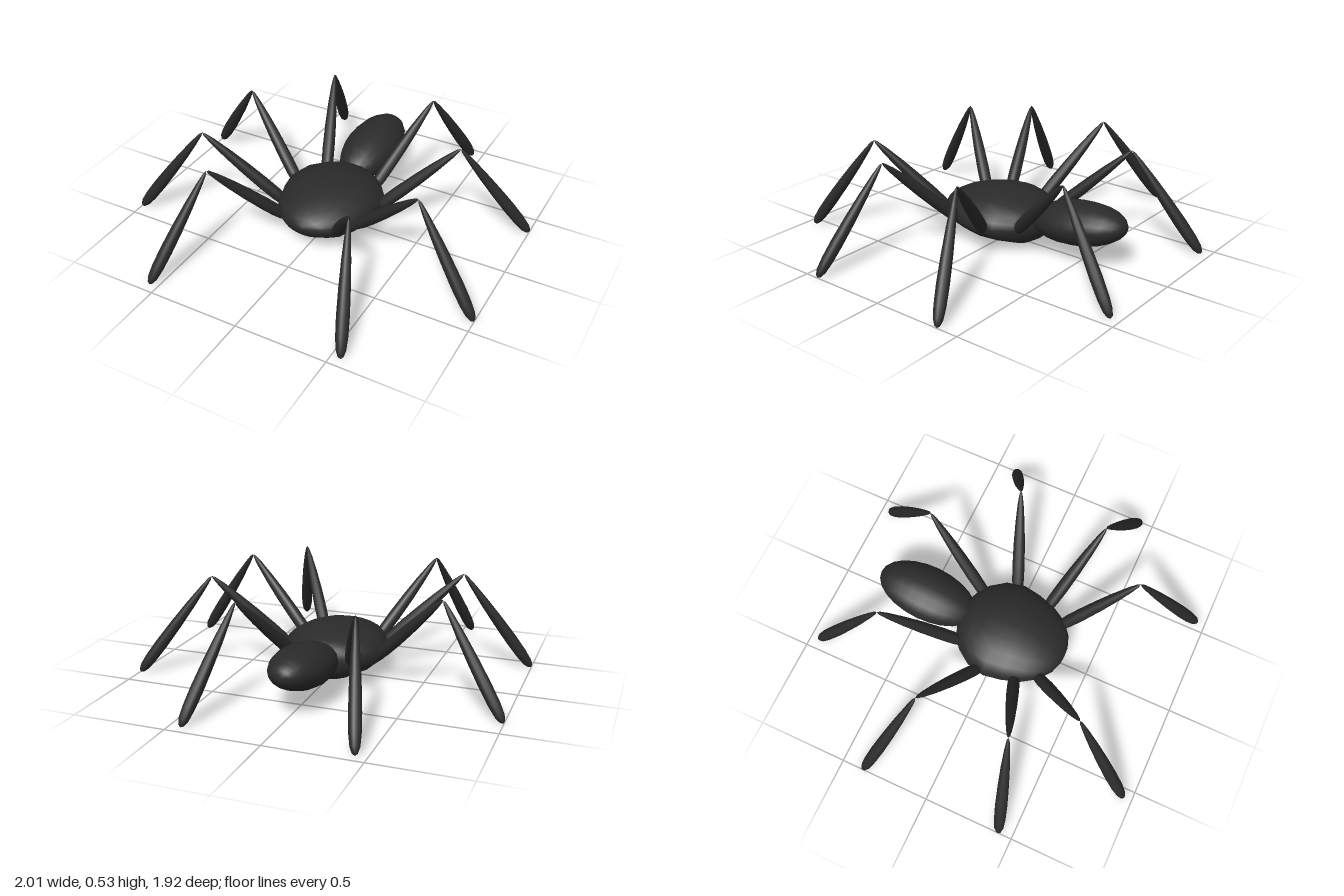
import * as THREE from 'three';

const material = new THREE.MeshStandardMaterial({ color: 0x2a2a2a });

// Skin over rings along z; each section is [z, halfWidth, top, bottom, widestY]
function loft(sections, sides) {
  const pos = [], index = [];
  for (const [z, w, top, bottom, mid] of sections) {
    for (let i = 0; i < sides; i++) {
      const a = (i / sides) * Math.PI * 2, s = Math.sin(a);
      pos.push(Math.cos(a) * w, mid + s * (s > 0 ? top - mid : mid - bottom), z);
    }
  }
  for (let r = 0; r < sections.length - 1; r++) {
    for (let i = 0; i < sides; i++) {
      const a = r * sides + i, b = r * sides + (i + 1) % sides;
      index.push(a, a + sides, b, b, a + sides, b + sides);
    }
  }
  const g = new THREE.BufferGeometry();
  g.setAttribute('position', new THREE.Float32BufferAttribute(pos, 3));
  g.setIndex(index);
  g.computeVertexNormals();
  return g;
}

// Tapered limb running from one point to another; profile is [radius, fraction]
function limb(name, from, to, profile) {
  const dir = new THREE.Vector3().subVectors(to, from);
  const length = dir.length();
  const points = profile.map(([r, t]) => new THREE.Vector2(r, t * length));
  const mesh = new THREE.Mesh(new THREE.LatheGeometry(points, 12), material);
  mesh.name = name;
  mesh.position.copy(from);
  mesh.quaternion.setFromUnitVectors(new THREE.Vector3(0, 1, 0), dir.normalize());
  return mesh;
}

export function createModel() {
  const model = new THREE.Group();
  model.name = 'spider';

  // Domed front body, listed from back to front so faces point outward
  const bodySections = [
    [-0.25, 0, 0.13, 0.13, 0.13],
    [-0.248, 0.09, 0.19, 0.085, 0.135],
    [-0.225, 0.15, 0.22, 0.045, 0.14],
    [-0.18, 0.205, 0.242, 0.02, 0.14],
    [-0.1, 0.262, 0.268, 0.022, 0.14],
    [0, 0.285, 0.284, 0.028, 0.14],
    [0.1, 0.268, 0.279, 0.035, 0.14],
    [0.2, 0.235, 0.258, 0.045, 0.14],
    [0.28, 0.185, 0.23, 0.065, 0.145],
    [0.335, 0.115, 0.2, 0.095, 0.15],
    [0.358, 0.05, 0.175, 0.125, 0.15],
    [0.362, 0, 0.15, 0.15, 0.15],
  ];
  const body = new THREE.Mesh(loft(bodySections.reverse(), 20), material);
  body.name = 'body';
  model.add(body);

  // Long abdomen, tilted up toward the rear
  const abdomenGeometry = new THREE.SphereGeometry(1, 16, 12);
  abdomenGeometry.rotateX(Math.PI / 2).scale(0.155, 0.115, 0.285);
  const abdomen = new THREE.Mesh(abdomenGeometry, material);
  abdomen.name = 'abdomen';
  abdomen.position.set(0, 0.2, -0.467);
  abdomen.rotation.x = 0.13;
  model.add(abdomen);

  // Legs: hip, knee and foot on the left side, mirrored to the right
  const legs = [
    ['frontLeg', [0.155, 0.12, 0.26], [0.4, 0.53, 0.595], [0.55, 0, 0.952]],
    ['midFrontLeg', [0.21, 0.12, 0.155], [0.625, 0.53, 0.31], [0.998, 0, 0.425]],
    ['midRearLeg', [0.24, 0.12, -0.03], [0.635, 0.53, -0.195], [0.998, 0, -0.38]],
    ['rearLeg', [0.145, 0.12, -0.17], [0.312, 0.53, -0.58], [0.44, 0, -0.952]],
  ];
  const upper = [[0, 0], [0.019, 0.012], [0.029, 0.05], [0.033, 0.13], [0.034, 0.28],
    [0.031, 0.5], [0.025, 0.7], [0.016, 0.88], [0.008, 0.97], [0, 1]];
  const lower = [[0, 0], [0.008, 0.03], [0.015, 0.12], [0.024, 0.3], [0.03, 0.5],
    [0.033, 0.7], [0.031, 0.85], [0.025, 0.94], [0.014, 0.985], [0, 1]];
  for (const [name, hip, knee, foot] of legs) {
    for (const side of [1, -1]) {
      const [h, k, f] = [hip, knee, foot].map(([x, y, z]) => new THREE.Vector3(x * side, y, z));
      const leg = new THREE.Group();
      leg.name = (side > 0 ? 'left ' : 'right ') + name;
      leg.add(limb('upperLeg', h, k, upper), limb('lowerLeg', k, f, lower));
      model.add(leg);
    }
  }
  return model;
}
